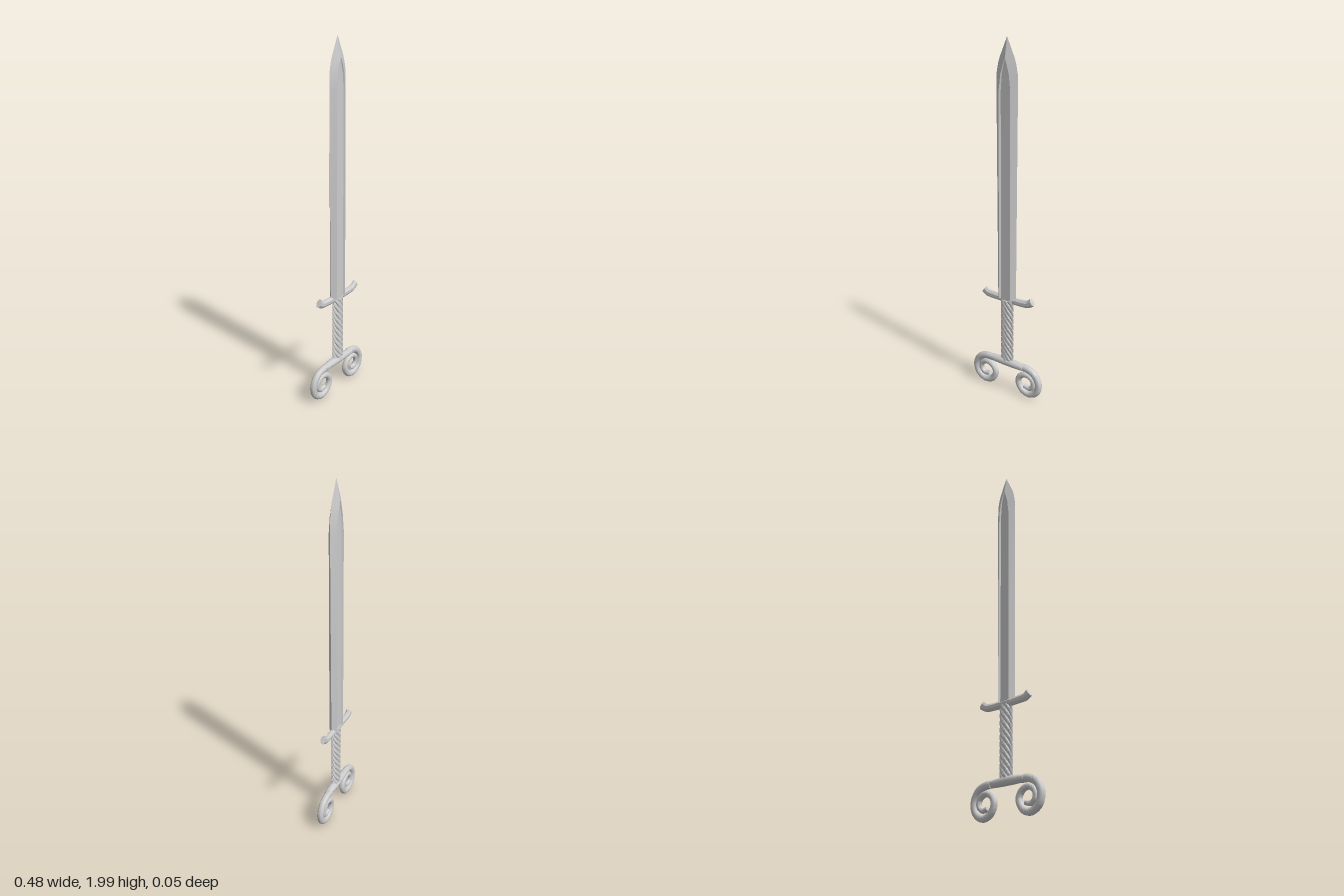
import * as THREE from 'three';
import { toCreasedNormals } from 'three/addons/utils/BufferGeometryUtils.js';

const V = (x, y, z = 0) => new THREE.Vector3(x, y, z);

// Skin a closed, capped surface over rings of equal point count
function loft(name, rings, crease) {
  const n = rings[0].length, pos = [], idx = [];
  const add = (p) => pos.push(p.x, p.y, p.z);
  rings.forEach((r) => r.forEach(add));
  for (let i = 0; i < rings.length - 1; i++) {
    for (let j = 0; j < n; j++) {
      const k = (j + 1) % n, a = i * n + j, b = i * n + k;
      idx.push(a, b, b + n, a, b + n, a + n);
    }
  }
  const last = rings.length - 1;
  [0, last].forEach((i) => {
    const c = V(0, 0);
    rings[i].forEach((p) => c.addScaledVector(p, 1 / n));
    const ci = pos.length / 3;
    add(c);
    for (let j = 0; j < n; j++) {
      const a = i * n + j, b = i * n + (j + 1) % n;
      if (i === 0) idx.push(ci, b, a); else idx.push(ci, a, b);
    }
  });
  let g = new THREE.BufferGeometry();
  g.setAttribute('position', new THREE.Float32BufferAttribute(pos, 3));
  g.setIndex(idx);
  g = toCreasedNormals(g, crease);
  const mesh = new THREE.Mesh(g, new THREE.MeshStandardMaterial({ color: 0xcccccc }));
  mesh.name = name;
  return mesh;
}

// Elliptical bar along a path in the xy plane; size(t) gives [in-plane radius, z radius]
function bar(name, points, steps, sides, size, crease) {
  const curve = new THREE.CatmullRomCurve3(points.map(([x, y, z]) => V(x, y, z)));
  const rings = [];
  for (let i = 0; i <= steps; i++) {
    const t = i / steps, p = curve.getPointAt(t), d = curve.getTangentAt(t), [r, rz] = size(t);
    const ring = [];
    for (let j = 0; j < sides; j++) {
      const a = ((j + 0.5) / sides) * Math.PI * 2, c = Math.cos(a) * r;
      ring.push(V(p.x - d.y * c, p.y + d.x * c, p.z + Math.sin(a) * rz));
    }
    rings.push(ring);
  }
  return loft(name, rings, crease);
}

// Double-edged blade with a shallow fuller on both faces
function makeBlade() {
  // y, half width, fuller half width, thickness, fuller depth plane
  const rows = [
    [0.59, 0.061, 0.037, 0.024, 0.015], [1.2, 0.064, 0.037, 0.024, 0.015],
    [1.74, 0.067, 0.036, 0.023, 0.015], [1.82, 0.066, 0.026, 0.022, 0.016],
    [1.87, 0.056, 0.011, 0.021, 0.017], [1.9, 0.046, 0.001, 0.019, 0.019],
    [2, 0.0005, 0.0002, 0.0005, 0.0005],
  ];
  const rings = rows.map(([y, w, s, t, g]) => [
    [w, 0], [s, -t], [s * 0.8, -g], [-s * 0.8, -g], [-s, -t],
    [-w, 0], [-s, t], [-s * 0.8, g], [s * 0.8, g], [s, t],
  ].map(([x, z]) => V(x + 0.002, y, z)));
  return loft('blade', rings, 0.3);
}

// Flattened grip of twisted strands
function makeGrip() {
  const rings = [], strands = 7, sides = strands * 8, steps = 60;
  for (let i = 0; i <= steps; i++) {
    const y = 0.19 + (0.39 * i) / steps, turn = -((y - 0.19) / 0.26) * Math.PI * 2, ring = [];
    for (let j = 0; j < sides; j++) {
      const a = (j / sides) * Math.PI * 2 + turn;
      const bump = 0.82 + 0.2 * Math.abs(Math.sin((j / sides) * Math.PI * strands));
      ring.push(V(0.004 + Math.cos(a) * 0.041 * bump, y, -Math.sin(a) * 0.021 * bump));
    }
    rings.push(ring);
  }
  return loft('grip', rings, 0.7);
}

export function createModel() {
  const sword = new THREE.Group();
  sword.name = 'sword';
  sword.add(makeBlade(), makeGrip());

  // Crossguard with upturned, slightly flared ends
  sword.add(bar('crossguard', [
    [-0.157, 0.605, -0.004], [-0.135, 0.59, -0.004], [-0.09, 0.586, -0.003], [0, 0.585, -0.003],
    [0.1, 0.586, -0.003], [0.14, 0.591, -0.003], [0.17, 0.61, -0.003],
  ], 24, 8, (t) => [0.021 + 0.004 * Math.abs(2 * t - 1) ** 6, 0.016], 0.5));

  // Pommel bar, thickest in the middle
  sword.add(bar('pommelBar', [[-0.118, 0.185], [0, 0.188], [0.118, 0.185]], 16, 16,
    (t) => [0.018 + 0.006 * Math.sin(t * Math.PI), 0.02 + 0.005 * Math.sin(t * Math.PI)], 0.6));

  // Scrolls curling inward under the pommel bar
  const scroll = [
    [0.1, 0.185], [0.145, 0.182], [0.19, 0.16], [0.217, 0.11], [0.205, 0.055], [0.155, 0.025],
    [0.105, 0.04], [0.079, 0.09], [0.1, 0.13], [0.142, 0.143], [0.178, 0.12],
    [0.181, 0.083], [0.157, 0.063], [0.133, 0.066], [0.122, 0.07],
  ];
  [-1, 1].forEach((s) => sword.add(bar(s > 0 ? 'leftScroll' : 'rightScroll',
    scroll.map(([x, y]) => [x * s, y, -0.002 - 0.003 * s]), 90, 14,
    (t) => [0.021 - 0.008 * t * t, 0.019 - 0.006 * t * t], 0.8)));

  return sword;
}
